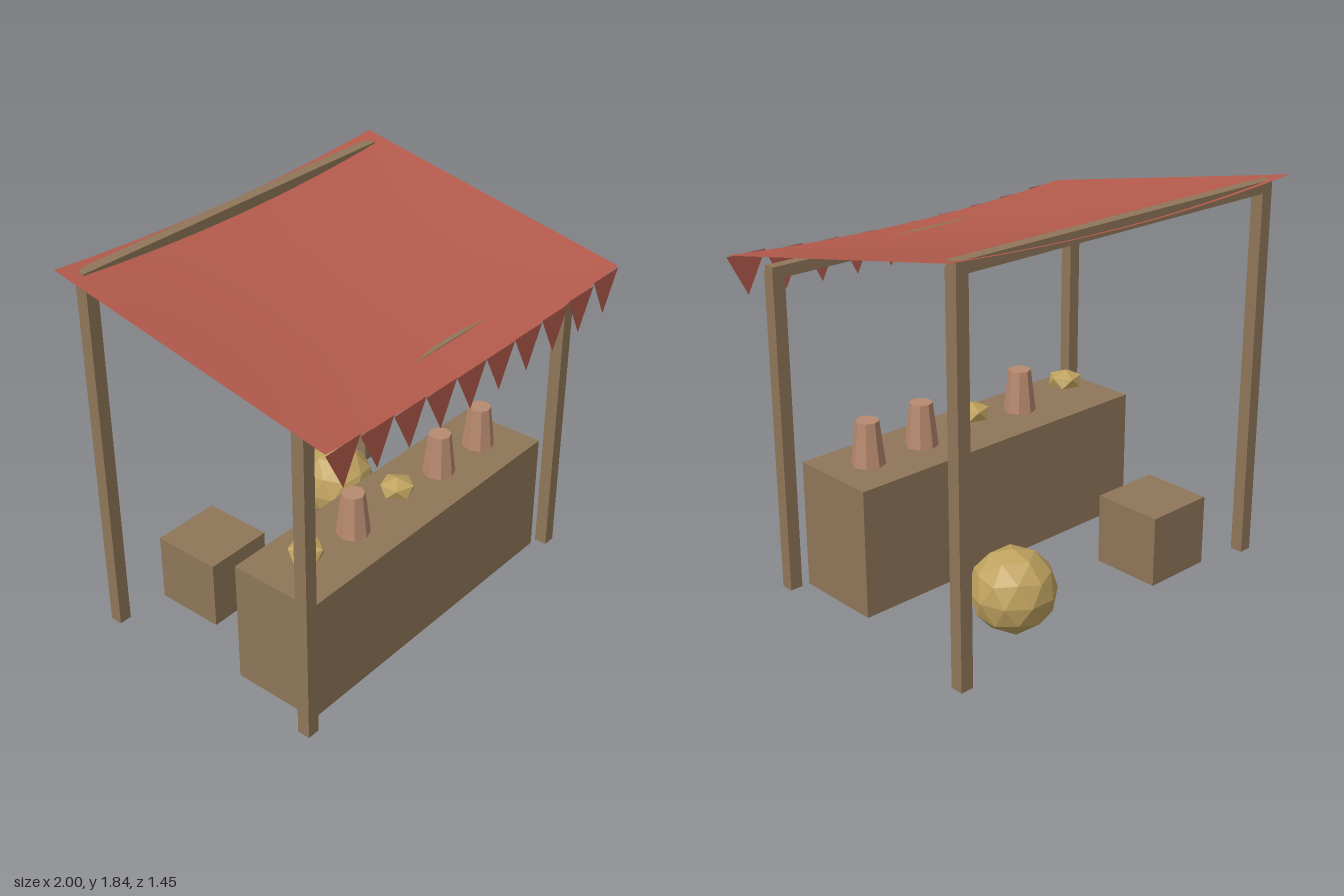
import * as THREE from 'three';

const mat = (color, opts = {}) => new THREE.MeshStandardMaterial({ color, flatShading: true, ...opts });

export function createModel() {
  const group = new THREE.Group();
  const wood = mat(0x8f7659);
  const clay = mat(0xb88a70);
  const gold = mat(0xbfa25f);
  const cloth = new THREE.MeshStandardMaterial({ color: 0xb55b4d, side: THREE.DoubleSide });

  const add = (name, geometry, material, x, y, z) => {
    const mesh = new THREE.Mesh(geometry, material);
    mesh.name = name;
    mesh.position.set(x, y, z);
    group.add(mesh);
    return mesh;
  };
  const box = (name, w, h, d, x, y, z) => add(name, new THREE.BoxGeometry(w, h, d), wood, x, y, z);

  // Icosphere standing on one of its points
  const icosphere = (r, detail) =>
    new THREE.IcosahedronGeometry(r, detail).rotateZ(-Math.atan(2 / (1 + Math.sqrt(5))));

  // Posts and cross beams, lower at the front
  const floor = 0.01;
  for (const [end, z, top] of [['front', 0.52, 1.52], ['back', -0.653, 1.798]]) {
    for (const x of [-0.897, 0.897]) {
      box(end + 'Post', 0.062, top - floor, 0.062, x, (top + floor) / 2, z);
    }
    box(end + 'Beam', 1.855, 0.054, 0.054, 0, top, z - 0.004);
  }

  // Counter and crate
  box('counter', 1.655, 0.612, 0.436, 0, floor + 0.306, 0.271);
  box('crate', 0.345, 0.34, 0.345, -0.477, floor + 0.17, -0.445);

  // Sloping canopy, sagging between its straight side edges
  const half = 0.723;
  const canopyY = (x, z) => {
    const sag = 0.042 + 0.033 * (1 - (z / half) ** 2);
    return 1.704 - 0.192 * z - sag * (1 - x * x);
  };
  const canopy = new THREE.PlaneGeometry(2, half * 2, 20, 12).rotateX(-Math.PI / 2);
  const p = canopy.attributes.position;
  for (let i = 0; i < p.count; i++) p.setY(i, canopyY(p.getX(i), p.getZ(i)));
  canopy.computeVertexNormals();
  add('canopy', canopy, cloth, 0, 0, 0);

  // Row of pennants along the front edge
  const triangle = new THREE.Shape([
    new THREE.Vector2(-0.1, 0), new THREE.Vector2(0, -0.19), new THREE.Vector2(0.1, 0),
  ]);
  const pennant = new THREE.ShapeGeometry(triangle);
  for (let i = 0; i < 10; i++) {
    const x = -0.9 + i * 0.2;
    add('pennant', pennant, cloth, x, canopyY(x, half), half);
  }

  // Goods on the counter
  const cup = new THREE.CylinderGeometry(0.054, 0.078, 0.208, 8);
  for (const x of [-0.31, 0.31, 0.62]) add('cup', cup, clay, x, 0.726, 0.277);
  const nugget = icosphere(0.089, 0).scale(1, 0.58, 1);
  for (const x of [-0.62, 0]) add('nugget', nugget, gold, x, 0.696, 0.275);

  // Round bale on the ground behind the counter
  add('bale', icosphere(0.195, 1).rotateY(Math.PI / 2), gold, 0.415, 0.198, -0.445);

  return group;
}
